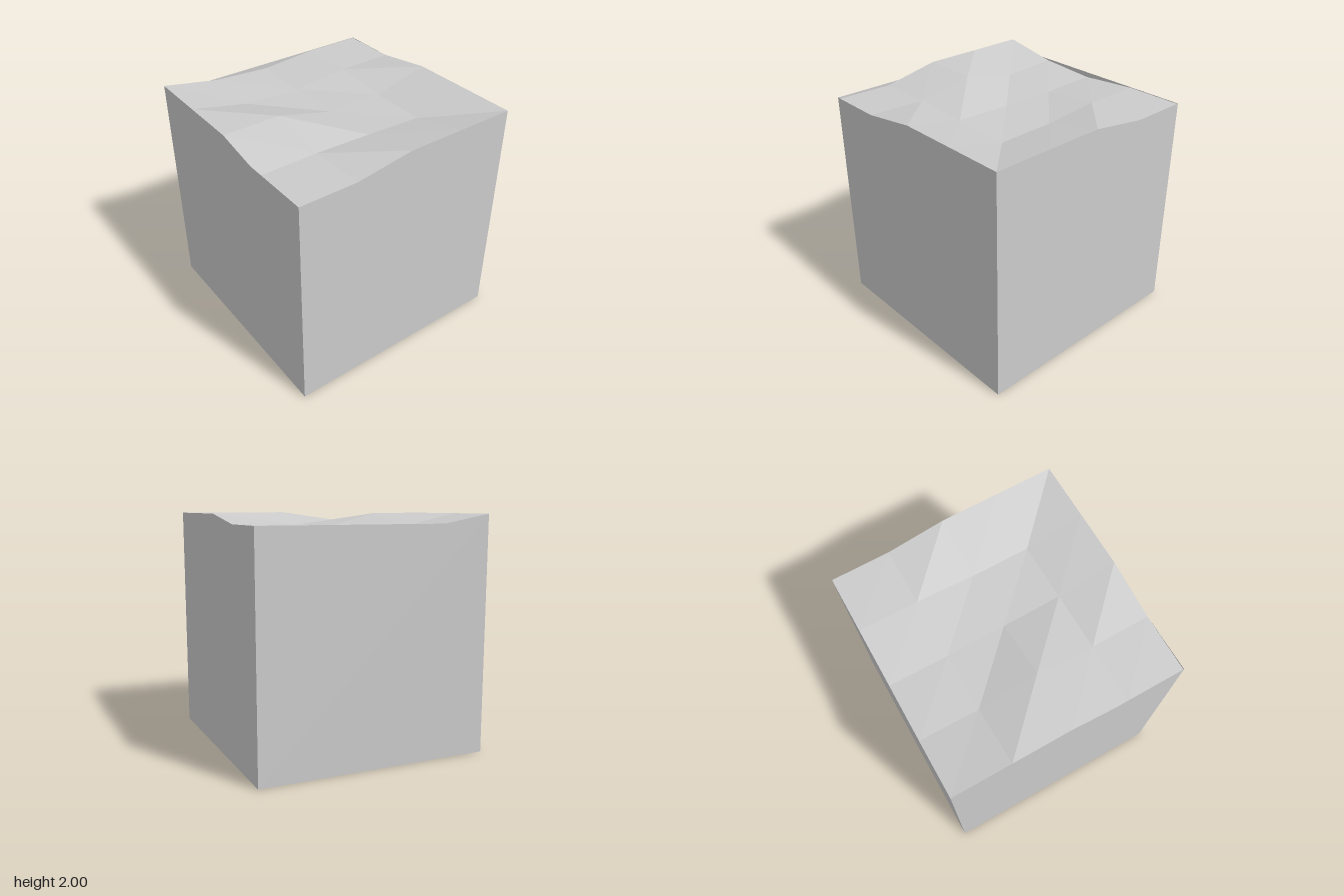
import * as THREE from 'three';

const RIM = 1.925; // lowest height of the side walls
// Terrain heights: rows run from back (z = -1) to front, columns from x = -1 to 1
const HEIGHTS = [
  [1.92, 1.925, 2, 2, 2],
  [1.92, 1.92, 1.88, 1.875, 2],
  [1.88, 1.87, 1.875, 1.895, 2],
  [1.91, 1.89, 2, 1.91, 1.925],
  [2, 2, 2, 1.902, 1.91],
];

// Wall outline: follows the terrain edge but never drops below the rim
function wallShape(edge) {
  const pts = [[-1, 0], [1, 0]];
  for (let i = edge.length - 1; i >= 0; i--) {
    const x = -1 + i * 0.5;
    pts.push([x, Math.max(edge[i], RIM)]);
    const a = edge[i] - RIM;
    const b = i > 0 ? edge[i - 1] - RIM : 0;
    if (a * b < 0) pts.push([x - 0.5 * (a / (a - b)), RIM]);
  }
  return new THREE.Shape(pts.map(([x, y]) => new THREE.Vector2(x, y)));
}

export function createModel() {
  const model = new THREE.Group();
  model.name = 'terrainBlock';
  const material = new THREE.MeshStandardMaterial({
    color: 0xcccccc, flatShading: true, side: THREE.DoubleSide,
  });
  const add = (name, geometry) => {
    const mesh = new THREE.Mesh(geometry, material);
    mesh.name = name;
    model.add(mesh);
    return mesh;
  };

  // Faceted terrain on top
  const terrain = new THREE.PlaneGeometry(2, 2, 4, 4).rotateX(-Math.PI / 2);
  HEIGHTS.flat().forEach((h, i) => terrain.attributes.position.setY(i, h));
  add('terrain', terrain.toNonIndexed());

  // Four walls, each edge listed left to right as seen from outside
  const column = (i) => HEIGHTS.map((row) => row[i]);
  const walls = [
    ['frontWall', HEIGHTS[4], 0],
    ['leftWall', column(4).reverse(), Math.PI / 2],
    ['backWall', [...HEIGHTS[0]].reverse(), Math.PI],
    ['rightWall', column(0), -Math.PI / 2],
  ];
  for (const [name, edge, angle] of walls) {
    const geometry = new THREE.ShapeGeometry(wallShape(edge));
    add(name, geometry.translate(0, 0, 1).rotateY(angle));
  }

  // Floor, facing down
  add('floor', new THREE.PlaneGeometry(2, 2).rotateX(Math.PI / 2));
  return model;
}
